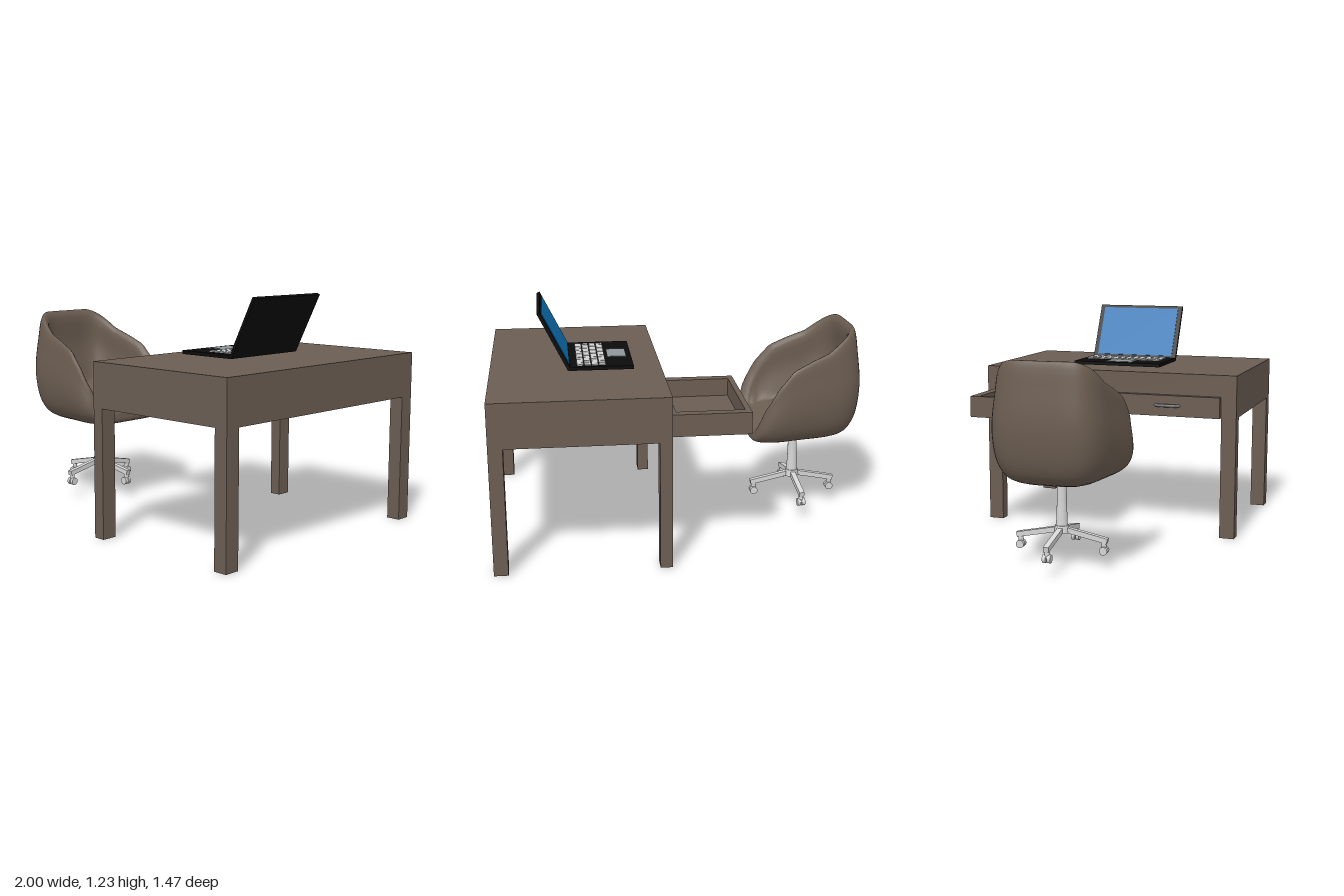
import * as THREE from 'three';

const mat = (name, color) => {
  const m = new THREE.MeshStandardMaterial({ color });
  m.name = name;
  return m;
};

export function createModel() {
  const wood = mat('brown wood', 0x6b5d52);
  const leather = mat('brown upholstery', 0x6b5d51);
  const black = mat('black casing', 0x0b0b0b);
  const blue = mat('blue screen', 0x0d72b5);
  const keyGrey = mat('light grey keys', 0xd2d2d2);
  const padGrey = mat('grey trackpad', 0x90979a);
  const metal = mat('pale metal', 0xd6d6d6);
  const handleGrey = mat('handle grey', 0x77777a);

  const model = new THREE.Group();
  const group = (name, parent = model) => {
    const g = new THREE.Group();
    g.name = name;
    parent.add(g);
    return g;
  };
  const add = (parent, name, geo, material) => {
    const m = new THREE.Mesh(geo, material);
    m.name = name;
    parent.add(m);
    return m;
  };
  // Box given by its minimum and maximum corners
  const box = (parent, name, material, x0, x1, y0, y1, z0, z1) => {
    const m = add(parent, name, new THREE.BoxGeometry(x1 - x0, y1 - y0, z1 - z0), material);
    m.position.set((x0 + x1) / 2, (y0 + y1) / 2, (z0 + z1) / 2);
    return m;
  };
  const cyl = (parent, name, material, rTop, rBottom, y0, y1, x = 0, z = 0) => {
    const m = add(parent, name, new THREE.CylinderGeometry(rTop, rBottom, y1 - y0, 24), material);
    m.position.set(x, (y0 + y1) / 2, z);
    return m;
  };

  // Desk body and legs
  const desk = group('desk');
  box(desk, 'deskBody', wood, 0.1, 1, 0.67, 0.904, -0.735, 0.735);
  for (const [x0, x1] of [[0.1, 0.163], [0.927, 1]])
    for (const [z0, z1] of [[-0.735, -0.652], [0.652, 0.735]])
      box(desk, 'deskLeg', wood, x0, x1, 0, 0.67, z0, z1);

  // Bowed drawer pull
  const handle = (parent, x, z) => {
    const path = new THREE.CatmullRomCurve3([[0.004, -0.07], [-0.01, -0.05], [-0.013, 0], [-0.01, 0.05], [0.004, 0.07]]
      .map(([dx, dz]) => new THREE.Vector3(dx, 0, dz)));
    const m = add(parent, 'drawerHandle', new THREE.TubeGeometry(path, 20, 0.006, 8), handleGrey);
    m.position.set(x, 0.73, z);
    m.scale.y = 1.5;
  };

  // Open drawer: floor and four walls
  const open = group('openDrawer', desk);
  box(open, 'drawerFloor', wood, -0.28, 0.07, 0.67, 0.69, -0.6, -0.055);
  box(open, 'drawerFront', wood, -0.31, -0.28, 0.67, 0.785, -0.65, 0);
  box(open, 'drawerBack', wood, 0.07, 0.1, 0.67, 0.785, -0.65, 0);
  box(open, 'drawerSide', wood, -0.28, 0.07, 0.67, 0.785, -0.65, -0.6);
  box(open, 'drawerSide', wood, -0.28, 0.07, 0.67, 0.785, -0.055, 0);
  handle(open, -0.31, -0.335);

  // Closed drawer: only its front stands proud of the desk
  const closed = group('closedDrawer', desk);
  box(closed, 'drawerFront', wood, 0.068, 0.1, 0.67, 0.785, 0.06, 0.65);
  handle(closed, 0.068, 0.355);

  // Laptop base, trackpad and keys
  const laptop = group('laptop');
  box(laptop, 'laptopBase', black, 0.25, 0.59, 0.915, 0.934, -0.255, 0.255);
  box(laptop, 'trackpad', padGrey, 0.277, 0.378, 0.932, 0.937, -0.072, 0.083);
  for (let i = 0; i < 4; i++)
    for (let j = 0; j < 12; j++) {
      const x = 0.395 + i * 0.0385, z = -0.23 + j * 0.0368;
      box(laptop, 'key', keyGrey, x, x + 0.034, 0.932, 0.94, z, z + 0.032);
    }
  // Lid leaning back on the hinge
  const lid = group('laptopLid', laptop);
  lid.position.set(0.585, 0.921, 0);
  lid.rotation.z = -Math.atan2(0.15, 0.302);
  box(lid, 'lidCase', black, -0.009, 0.009, 0, 0.339, -0.255, 0.255);
  box(lid, 'screen', blue, -0.012, -0.008, 0.02, 0.322, -0.23, 0.23);

  // Chair, turned slightly
  const chair = group('chair');
  chair.position.set(-0.67, 0, 0.024);
  chair.rotation.y = 0.04;

  // Rim height along the seat depth, from back to front
  const rim = [[-0.28, 1.06], [-0.23, 1.03], [-0.11, 0.95], [0, 0.91], [0.11, 0.865], [0.2, 0.77], [0.265, 0.65], [0.3, 0.515]];
  const rimHeight = (u) => {
    if (u <= rim[0][0]) return rim[0][1];
    for (let i = 1; i < rim.length; i++)
      if (u < rim[i][0]) {
        const [a, ya] = rim[i - 1], [b, yb] = rim[i];
        return ya + (yb - ya) * (u - a) / (b - a);
      }
    return rim[rim.length - 1][1];
  };

  // Tub shell: each section runs from under the seat, over the rim, to the seat centre
  const N = 96, P = 48, base = 0.445, pos = [], idx = [];
  for (let j = 0; j < N; j++) {
    const t = (j / N) * Math.PI * 2, c = Math.cos(t), s = Math.sin(t), n = 4.5;
    const r = Math.pow(Math.pow(Math.abs(c) / 0.308, n) + Math.pow(Math.abs(s) / 0.345, n), -1 / n);
    const u = r * c, w = r * s * (0.9 + 0.3 * u);
    let H = rimHeight(u * 0.94);
    H = u > 0 ? rimHeight(u) : H;
    const d = H - base, lean = 0.1 * d / 0.6;
    const outer = [[0, 0], [0.45, 0], [0.78, 0.07], [0.92, 0.19], [0.99, 0.37], [1, 0.56], [1 - lean * 0.5, 0.8], [1 - lean, 0.98]]
      .map(([k, f]) => new THREE.Vector3(k * u, base + f * d, k * w));
    const inner = [[0.96 - lean, 1.02], [0.88 - lean, 0.96], [0.79, 0.7], [0.71, 0.45], [0.64, 0.25], [0.55, 0], [0.3, 0], [0, 0]]
      .map(([k, f]) => {
        const seat = 0.59 - 0.2 * k * u;
        return new THREE.Vector3(k * u, Math.max(seat, base + f * d), k * w);
      });
    for (const p of new THREE.CatmullRomCurve3([...outer, ...inner]).getPoints(P)) pos.push(p.x, p.y, p.z);
  }
  for (let j = 0; j < N; j++)
    for (let i = 0; i < P; i++) {
      const a = j * (P + 1) + i, b = ((j + 1) % N) * (P + 1) + i;
      idx.push(a, a + 1, b, a + 1, b + 1, b);
    }
  const shell = new THREE.BufferGeometry();
  shell.setAttribute('position', new THREE.Float32BufferAttribute(pos, 3));
  shell.setIndex(idx);
  shell.computeVertexNormals();
  add(chair, 'seatShell', shell, leather).position.x = -0.02;

  // Pedestal
  const stand = group('chairBase', chair);
  cyl(stand, 'seatCollar', metal, 0.033, 0.03, 0.422, 0.45);
  cyl(stand, 'column', metal, 0.025, 0.025, 0.21, 0.43);
  cyl(stand, 'columnSleeve', metal, 0.025, 0.03, 0.2, 0.33);
  cyl(stand, 'hub', metal, 0.035, 0.04, 0.175, 0.212);

  // Four sloping feet, each with a caster
  for (let i = 0; i < 4; i++) {
    const foot = group('foot', stand);
    foot.rotation.y = i * Math.PI / 2;
    const arm = box(foot, 'footArm', metal, 0.015, 0.243, 0.155, 0.182, -0.014, 0.014);
    arm.rotation.z = -0.2;
    cyl(foot, 'casterStem', metal, 0.013, 0.013, 0.1, 0.145, 0.222);
    for (const z of [-0.012, 0.012]) {
      const wheel = cyl(foot, 'casterWheel', metal, 0.021, 0.021, 0.088, 0.106, 0.222, z);
      wheel.rotation.x = Math.PI / 2;
    }
  }
  return model;
}
